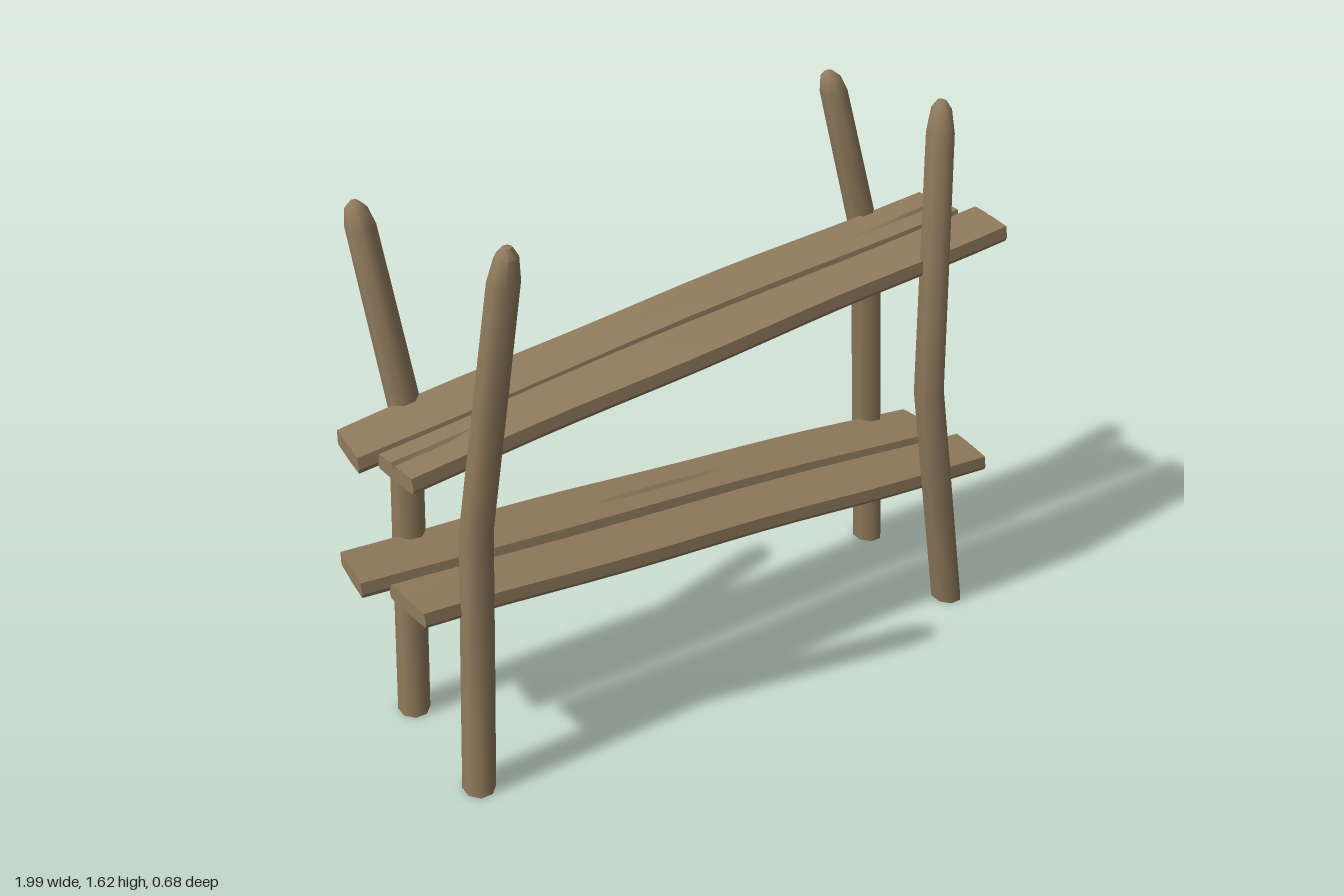
import * as THREE from 'three';
import { toCreasedNormals } from 'three/addons/utils/BufferGeometryUtils.js';

const wood = new THREE.MeshStandardMaterial({ color: 0x8f7a5c });
wood.name = 'weathered wood';

// Closed skin over a list of rings (counter-clockwise about the direction of travel)
function loft(rings, crease) {
  const n = rings[0].length, pos = [], idx = [];
  rings.forEach(r => r.forEach(p => pos.push(...p)));
  for (let i = 0; i < rings.length - 1; i++) {
    for (let j = 0; j < n; j++) {
      const a = i * n + j, b = i * n + (j + 1) % n;
      idx.push(a, b, a + n, b, b + n, a + n);
    }
  }
  [0, rings.length - 1].forEach(i => {
    const c = pos.length / 3;
    pos.push(...[0, 1, 2].map(k => rings[i].reduce((s, p) => s + p[k], 0) / n));
    for (let j = 0; j < n; j++) {
      const a = i * n + j, b = i * n + (j + 1) % n;
      if (i === 0) idx.push(c, b, a); else idx.push(c, a, b);
    }
  });
  const g = new THREE.BufferGeometry();
  g.setAttribute('position', new THREE.Float32BufferAttribute(pos, 3));
  g.setIndex(idx);
  return toCreasedNormals(g, crease);
}

// Crooked eight-sided post through base, kink and top, with a blunt tip
function post(name, base, kink, top) {
  const A = new THREE.Vector3(...base), B = new THREE.Vector3(...kink), C = new THREE.Vector3(...top);
  const steps = [
    [A, 1], [A.clone().lerp(B, 0.5), 0.99], [B, 0.96],
    [B.clone().lerp(C, 0.5), 0.92], [B.clone().lerp(C, 0.89), 0.88],
    [B.clone().lerp(C, 0.97), 0.64], [C, 0.26],
  ];
  const rings = steps.map(([c, s]) => Array.from({ length: 8 }, (_, j) => {
    const a = (j + 0.5) * Math.PI / 4;
    return [c.x + Math.sin(a) * 0.045 * s, c.y, c.z + Math.cos(a) * 0.051 * s];
  }));
  const m = new THREE.Mesh(loft(rings, 0.95), wood);
  m.name = name;
  return m;
}

// Sloping plank: y0/y1 are centre heights at the ends, zi/zo the inner and outer
// edges, skew the slant of the ends, groove(t) the depth of a split in the top
function plank(name, { x0, x1, y0, y1, zi, zo, skew, seed, groove }) {
  const N = 16, h = 0.022, rings = [];
  const side = Math.sign(zo);
  for (let i = 0; i <= N; i++) {
    const t = i / N;
    const y = y0 + (y1 - y0) * t + 0.008 * Math.sin(Math.PI * t);
    const wi = 0.005 * Math.sin(t * 9 + seed);
    const wo = 0.008 * Math.sin(Math.PI * t) + 0.004 * Math.sin(t * 13 + seed * 2);
    const inner = zi + side * wi, outer = zo + side * wo;
    const at = (f, dy) => [
      x0 + (x1 - x0) * t + skew * f * (1 - 2 * t), y + dy, inner + (outer - inner) * f,
    ];
    const g = groove(t);
    const section = [
      at(0.05, h), at(0.39, h + 0.002), at(0.45, h - g), at(0.51, h + 0.002), at(0.96, h),
      at(1, -h * 0.5), at(0.97, -h), at(0.5, -h - 0.003), at(0.03, -h), at(0, -h * 0.4),
    ];
    rings.push(side > 0 ? section : section.reverse());
  }
  const m = new THREE.Mesh(loft(rings, 0.6), wood);
  m.name = name;
  return m;
}

export function createModel() {
  const model = new THREE.Group();
  model.name = 'plankRack';

  // Four crooked posts
  model.add(
    post('frontRightPost', [-0.808, 0, 0.2], [-0.755, 0.8, 0.178], [-0.69, 1.625, 0.305]),
    post('frontLeftPost', [0.828, 0, 0.2], [0.685, 0.78, 0.212], [0.73, 1.625, 0.125]),
    post('backRightPost', [-0.808, 0, -0.202], [-0.757, 0.98, -0.2], [-0.793, 1.53, -0.322]),
    post('backLeftPost', [0.83, 0, -0.205], [0.758, 1.08, -0.203], [0.645, 1.605, -0.265]),
  );

  // Upper and lower pairs of planks, sloping opposite ways
  const shelves = [
    ['upperFrontPlank', { x0: -0.93, x1: 0.99, y0: 0.982, y1: 1.186, zi: 0.003, zo: 0.168, skew: 0.018,
      seed: 1, groove: t => 0.02 * Math.max(0, 1 - t / 0.12) }],
    ['upperBackPlank', { x0: -0.972, x1: 0.952, y0: 0.962, y1: 1.173, zi: -0.018, zo: -0.19, skew: 0.016,
      seed: 3, groove: t => 0.024 * Math.max(0, 1 - (1 - t) / 0.15) }],
    ['lowerFrontPlank', { x0: -0.93, x1: 0.985, y0: 0.58, y1: 0.42, zi: 0.005, zo: 0.18, skew: 0.018,
      seed: 5, groove: () => 0 }],
    ['lowerBackPlank', { x0: -1, x1: 0.95, y0: 0.592, y1: 0.426, zi: -0.01, zo: -0.195, skew: 0.018,
      seed: 2, groove: t => 0.012 * Math.max(0, 1 - Math.abs(t - 0.5) / 0.13) }],
  ];
  shelves.forEach(([name, spec]) => model.add(plank(name, spec)));

  return model;
}
